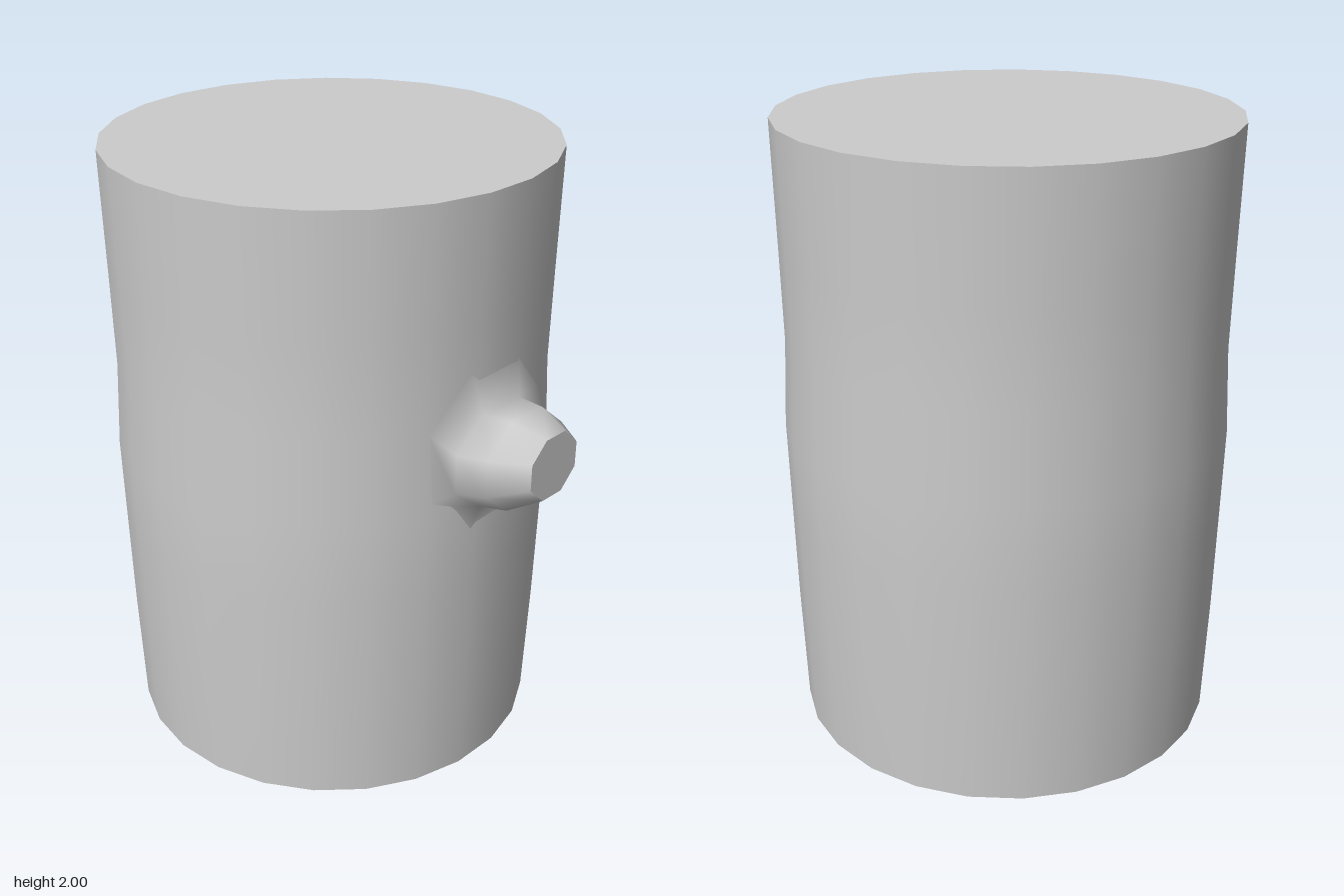
import * as THREE from 'three';

const SIDES = 25, CENTRE_Z = -0.105;
const KNOT_SIDES = 8;

// Joins loops of points (counter-clockwise seen from the front) into a smooth skin
function loft(rings) {
  const n = rings[0].length, index = [];
  for (let r = 0; r < rings.length - 1; r++) {
    for (let i = 0; i < n; i++) {
      const a = r * n + i, b = r * n + (i + 1) % n;
      index.push(a, b, b + n, a, b + n, a + n);
    }
  }
  const geo = new THREE.BufferGeometry().setFromPoints(rings.flat());
  geo.setIndex(index);
  geo.computeVertexNormals();
  return geo;
}

// Octagonal loop with half extents w, h; depth(x, dx) gives z
function octagon(cx, cy, w, h, depth) {
  const k = 1 / Math.cos(Math.PI / KNOT_SIDES);
  return Array.from({ length: KNOT_SIDES }, (_, i) => {
    const a = (i + 0.5) / KNOT_SIDES * Math.PI * 2;
    const dx = Math.cos(a) * w * k;
    return new THREE.Vector3(cx + dx, cy + Math.sin(a) * h * k, depth(cx + dx, dx));
  });
}

export function createModel() {
  const model = new THREE.Group();
  const material = new THREE.MeshStandardMaterial({ color: 0xcccccc });
  const add = (name, geo, parent = model) => {
    const mesh = new THREE.Mesh(geo, material);
    mesh.name = name;
    parent.add(mesh);
    return mesh;
  };

  // Trunk: slightly uneven column, with one facet corner at the back
  const profile = [[0.687, 0], [0.702, 0.4], [0.71, 0.75], [0.716, 1.02],
    [0.703, 1.3], [0.708, 1.6], [0.716, 2]].map(p => new THREE.Vector2(...p));
  add('trunk', new THREE.LatheGeometry(profile, SIDES, Math.PI)).position.z = CENTRE_Z;

  // Flat cut ends
  const top = new THREE.CircleGeometry(0.716, SIDES, Math.PI / 2).rotateX(-Math.PI / 2);
  add('topCut', top).position.set(0, 2, CENTRE_Z);
  const bottom = new THREE.CircleGeometry(0.687, SIDES, -Math.PI / 2).rotateX(Math.PI / 2);
  add('bottomCut', bottom).position.z = CENTRE_Z;

  // Branch stub: flares out of the bark, then narrows to a tilted cut face
  const stub = new THREE.Group();
  stub.name = 'branchStub';
  model.add(stub);
  const tilted = z => (x, dx) => z - 0.27 * dx;
  const bark = x => CENTRE_Z + Math.sqrt(0.7 ** 2 - x * x);
  const tip = octagon(0.226, 1.2, 0.103, 0.1, tilted(0.79));
  const rings = [
    octagon(0.165, 1.175, 0.25, 0.29, bark),
    octagon(0.17, 1.175, 0.195, 0.155, tilted(0.6)),
    octagon(0.195, 1.185, 0.17, 0.147, tilted(0.69)),
    tip,
  ];
  const skin = loft(rings);
  // Outer loop takes the bark's normals so the flare blends in
  rings[0].forEach((p, i) => {
    const n = new THREE.Vector3(p.x, 0, p.z - CENTRE_Z).normalize();
    skin.attributes.normal.setXYZ(i, n.x, n.y, n.z);
  });
  add('stubBark', skin, stub);

  // Cut face of the stub
  const middle = tip.map(() => new THREE.Vector3(0.226, 1.2, 0.79));
  add('stubCut', loft([tip, middle]), stub);

  return model;
}
